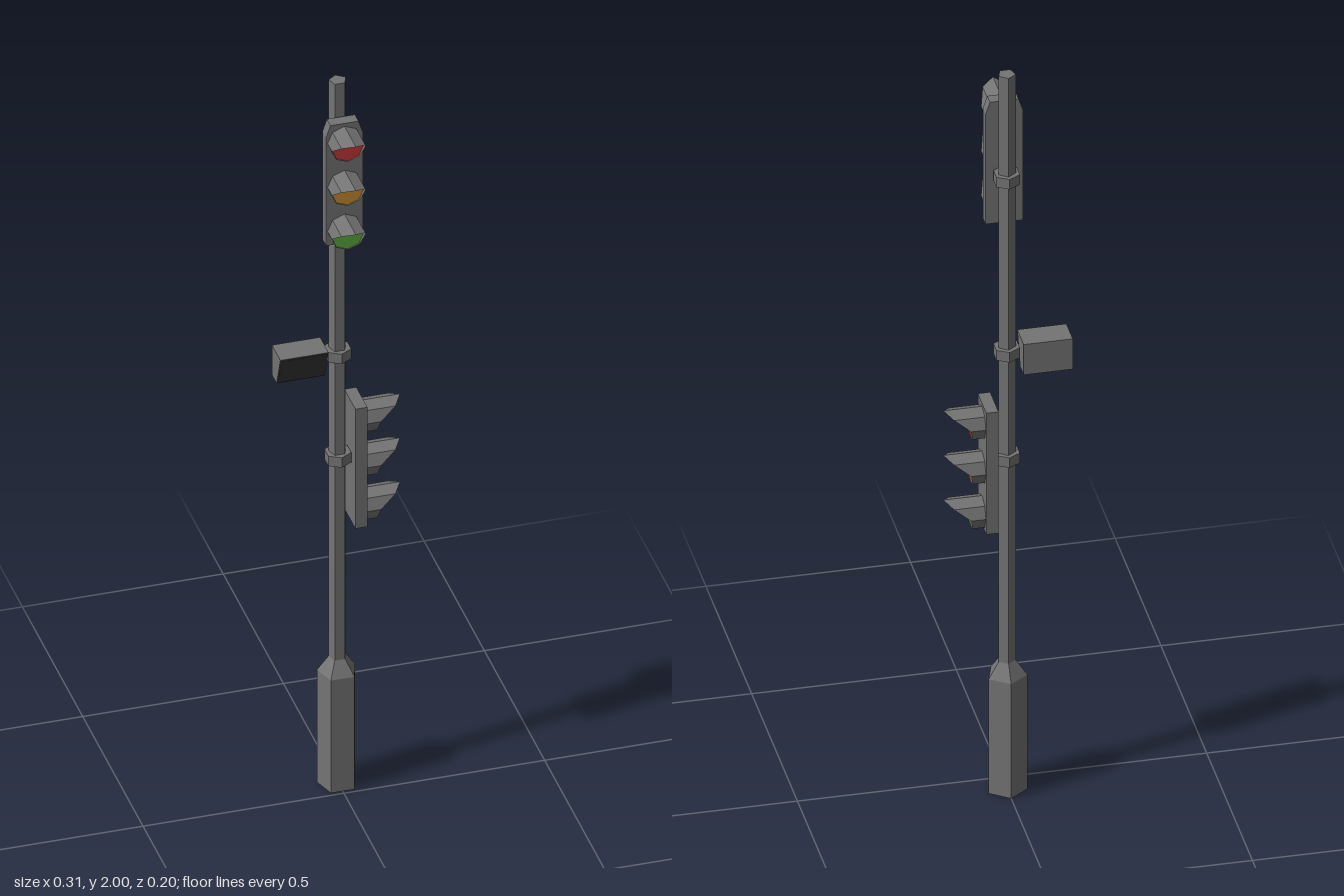
import * as THREE from 'three';

const material = (name, color, extra = {}) =>
  new THREE.MeshStandardMaterial({ name, color, flatShading: true, ...extra });

export function createModel() {
  const model = new THREE.Group();
  model.name = 'trafficLight';
  const grey = material('metalGrey', 0x747474, { side: THREE.DoubleSide });
  const dark = material('panelDark', 0x363636);
  const lensMaterials = [
    material('lensRed', 0xc43434), material('lensAmber', 0xc48a30), material('lensGreen', 0x5ca53a),
  ];

  const add = (parent, name, geometry, mat, x = 0, y = 0, z = 0) => {
    const mesh = new THREE.Mesh(geometry, mat);
    mesh.name = name;
    mesh.position.set(x, y, z);
    parent.add(mesh);
    return mesh;
  };
  const polygon = (points) => new THREE.Shape(points.map(([x, y]) => new THREE.Vector2(x, y)));

  // Everything is placed around the pole axis
  const post = new THREE.Group();
  post.name = 'post';
  post.position.z = -0.05;
  model.add(post);

  // Five-sided base, shoulder and pole, one corner to the back
  const prism = (name, top, bottom, height, y, sides = 5) => {
    const g = new THREE.CylinderGeometry(top, bottom, height, sides);
    g.rotateY(Math.PI);
    return add(post, name, g, grey, 0, y + height / 2, 0);
  };
  prism('base', 0.05, 0.05, 0.32, 0);
  prism('shoulder', 0.022, 0.05, 0.04, 0.32);
  prism('pole', 0.022, 0.022, 1.64, 0.36);
  for (const y of [1.71, 1.225, 0.93]) prism('clamp', 0.033, 0.033, 0.028, y - 0.014, 6);

  // Eight-sided hood, longest at the top and cut back towards the bottom
  const hoodGeometry = () => {
    const lengths = [0.095, 0.075, 0.036, 0.03, 0.028, 0.03, 0.036, 0.075];
    const positions = [], index = [];
    lengths.forEach((length, i) => {
      const a = (i / 8) * Math.PI * 2;
      const x = 0.042 * Math.sin(a), y = 0.042 * Math.cos(a);
      positions.push(x, y, 0, x, y, length);
      const p = i * 2, q = ((i + 1) % 8) * 2;
      index.push(p, p + 1, q, q, p + 1, q + 1);
    });
    const g = new THREE.BufferGeometry();
    g.setAttribute('position', new THREE.Float32BufferAttribute(positions, 3));
    g.setIndex(index);
    g.computeVertexNormals();
    return g;
  };

  // Signal head: housing, three hoods and lenses, facing local +z
  const signal = (name, chamfer) => {
    const head = new THREE.Group();
    head.name = name;
    const w = 0.046, c = chamfer;
    const outline = polygon([[-w, 0], [w, 0], [w, 0.34 - 3 * c], [w - c, 0.34], [c - w, 0.34], [-w, 0.34 - 3 * c]]);
    add(head, 'housing', new THREE.ExtrudeGeometry(outline, { depth: 0.03, bevelEnabled: false }), grey);
    lensMaterials.forEach((mat, i) => {
      const y = 0.29 - i * 0.125;
      add(head, 'hood', hoodGeometry(), grey, 0, y, 0.03);
      const disc = new THREE.CylinderGeometry(0.0405, 0.0405, 0.008, 8);
      disc.rotateX(Math.PI / 2);
      add(head, 'lens', disc, mat, 0, y, 0.053);
    });
    post.add(head);
    return head;
  };
  signal('frontSignal', 0.011).position.set(0, 1.57, 0.025);
  const side = signal('leftSignal', 0);
  side.position.set(0.03, 0.745, 0);
  side.rotation.y = Math.PI / 2;

  // Wedge-shaped display box with its front leaning forward at the top
  const box = new THREE.Group();
  box.name = 'displayBox';
  box.position.set(-0.155, 1.17, 0);
  post.add(box);
  const wedge = polygon([[0.03, 0], [-0.008, 0], [-0.04, 0.085], [0.03, 0.085]]);
  const wedgeGeometry = new THREE.ExtrudeGeometry(wedge, { depth: 0.12, bevelEnabled: false });
  wedgeGeometry.rotateY(Math.PI / 2);
  add(box, 'displayCase', wedgeGeometry, grey);
  const screen = add(box, 'displayScreen', new THREE.BoxGeometry(0.116, 0.086, 0.003), dark, 0.06, 0.0425, 0.0245);
  screen.rotation.x = Math.atan2(0.032, 0.085);

  return model;
}
